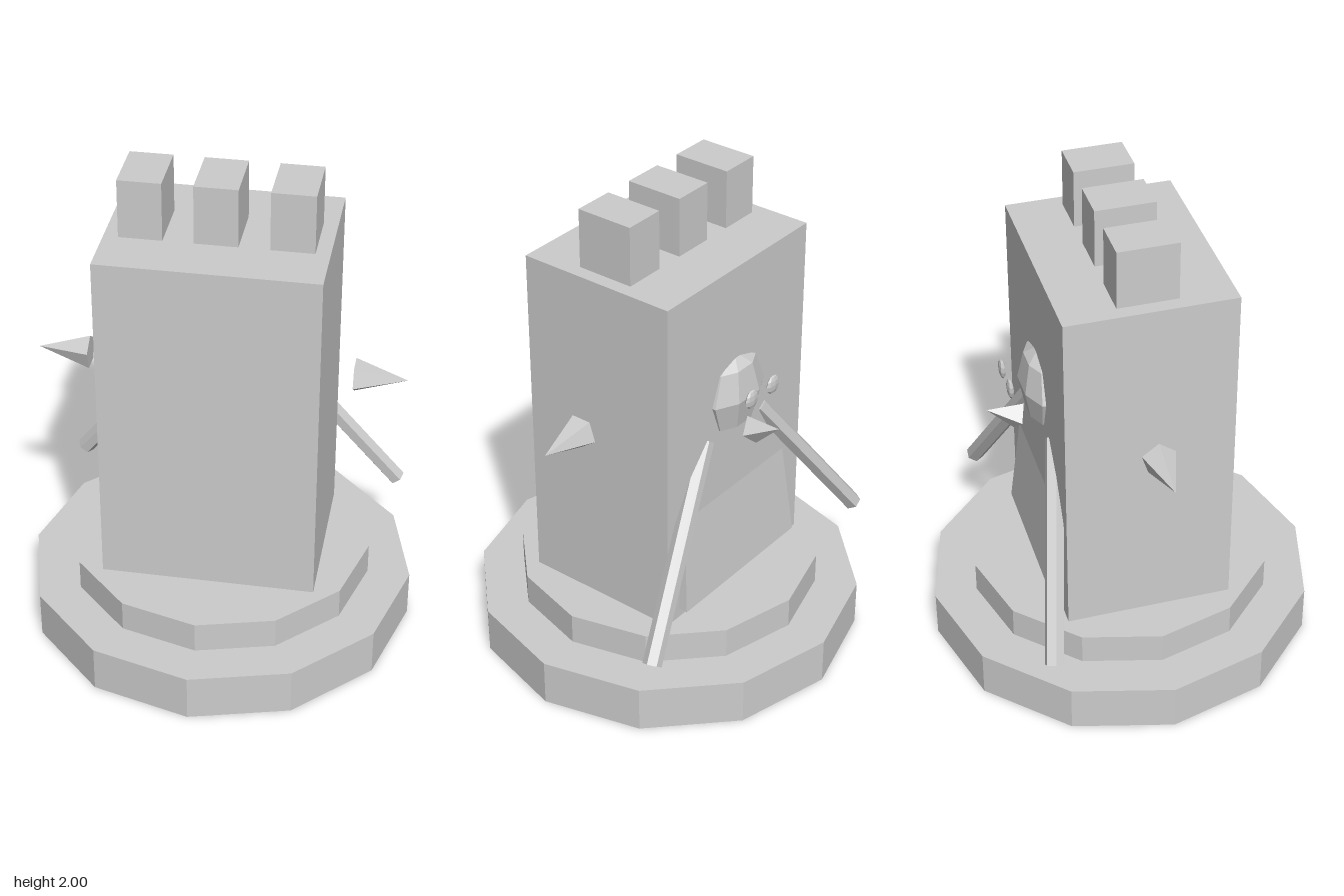
import * as THREE from 'three';

export function createModel() {
  const model = new THREE.Group();
  model.name = 'towerFigure';
  const stone = new THREE.MeshStandardMaterial({ color: 0xcccccc, flatShading: true });
  stone.name = 'stoneGrey';

  function add(name, geometry, x, y, z) {
    const mesh = new THREE.Mesh(geometry, stone);
    mesh.name = name;
    mesh.position.set(x, y, z);
    model.add(mesh);
    return mesh;
  }

  // Turns a part so that its own y axis runs from one point to another
  const UP = new THREE.Vector3(0, 1, 0);
  function between(name, makeGeometry, from, to) {
    const axis = to.clone().sub(from);
    const mid = from.clone().add(to).multiplyScalar(0.5);
    const mesh = add(name, makeGeometry(axis.length()), mid.x, mid.y, mid.z);
    mesh.quaternion.setFromUnitVectors(UP, axis.normalize());
    return mesh;
  }

  // Two-step twelve-sided base
  add('lowerBase', new THREE.CylinderGeometry(0.795, 0.795, 0.195, 12), 0, 0.0975, 0);
  add('upperBase', new THREE.CylinderGeometry(0.62, 0.62, 0.13, 12), 0, 0.26, 0);

  // Tower block and its battlements
  add('tower', new THREE.BoxGeometry(0.865, 1.435, 0.675), 0, 1.0425, 0);
  for (const x of [-0.29, 0, 0.29]) {
    add('battlement', new THREE.BoxGeometry(0.17, 0.24, 0.24), x, 1.88, 0);
  }

  // Apron on the back wall, leaning into the wall towards its top
  const apron = new THREE.BoxGeometry(0.72, 0.44, 0.12);
  const p = apron.attributes.position;
  for (let i = 0; i < p.count; i++) {
    if (p.getY(i) > 0) {
      p.setX(i, p.getX(i) * 0.89);
      p.setZ(i, p.getZ(i) + 0.043);
    }
  }
  add('apron', apron, 0, 0.587, -0.317);

  // Flattened head set into the back wall
  const head = new THREE.SphereGeometry(1, 8, 4);
  head.rotateY(Math.PI / 8);
  head.scale(0.17, 0.175, 0.084);
  add('head', head, 0, 1.206, -0.32);

  // Four-sided beak, tilted upwards
  const beak = between('beak', (h) => new THREE.ConeGeometry(0.058, h, 4),
    new THREE.Vector3(0, 1.062, -0.412), new THREE.Vector3(0, 1.115, -0.54));
  beak.rotation.set(-Math.atan2(0.128, 0.053), 0, 0);

  for (const side of [-1, 1]) {
    // Eyes
    const eye = new THREE.SphereGeometry(1, 8, 6);
    eye.scale(0.039, 0.04, 0.013);
    add(side > 0 ? 'leftEye' : 'rightEye', eye, side * 0.068, 1.253, -0.457);

    // Arms reaching down and outwards
    between(side > 0 ? 'leftArm' : 'rightArm',
      (h) => new THREE.CylinderGeometry(0.038, 0.038, h, 6),
      new THREE.Vector3(side * 0.17, 1.058, -0.312),
      new THREE.Vector3(side * 0.687, 0.358, -0.462));

    // Five-sided side spikes
    const spike = add(side > 0 ? 'leftSpike' : 'rightSpike',
      new THREE.ConeGeometry(0.07, 0.21, 5, 1, false, Math.PI / 2), side * 0.635, 1.16, 0);
    spike.rotation.z = -side * Math.PI / 2;
  }

  return model;
}
